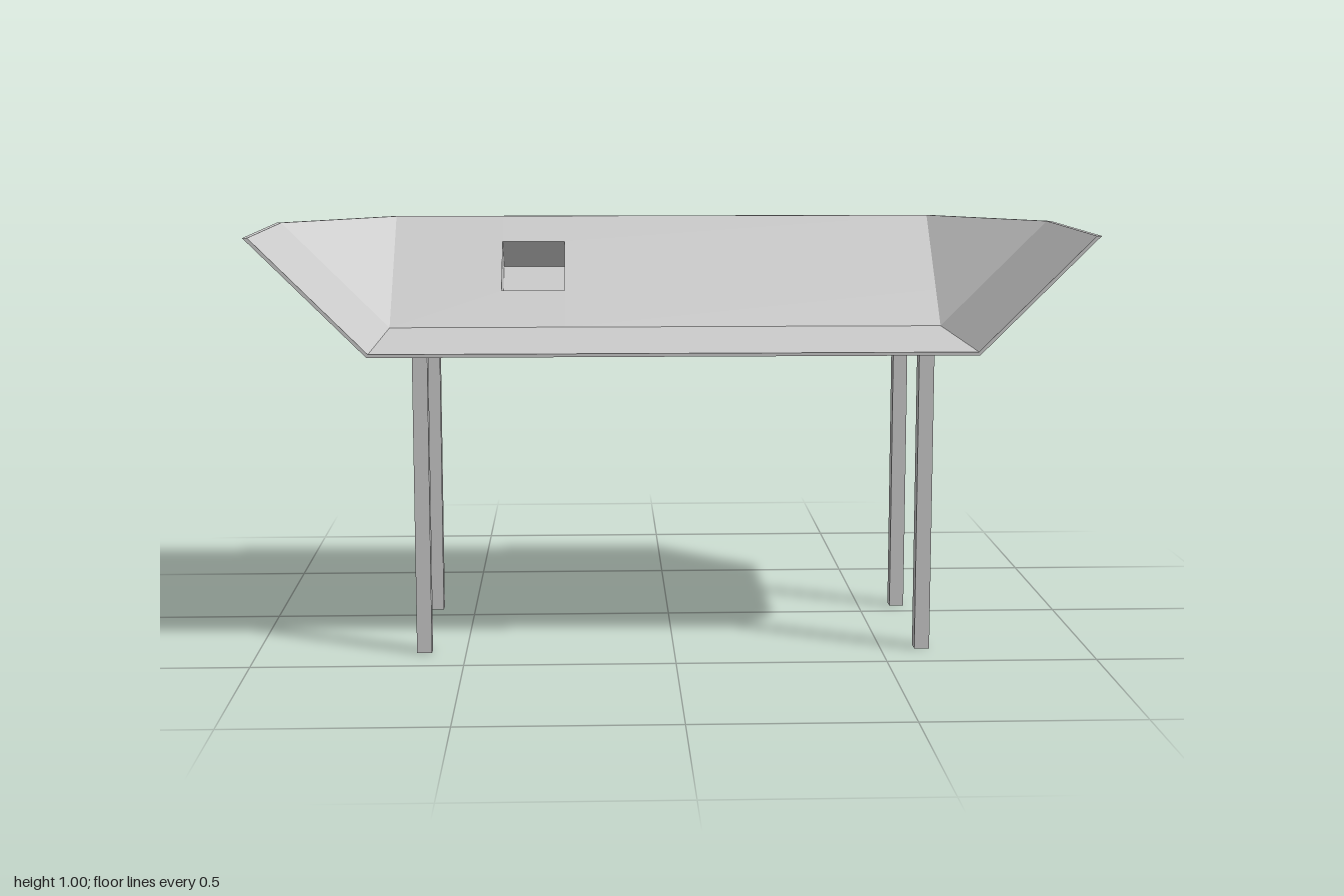
import * as THREE from 'three';

const T = 0.008;                 // sheet thickness
const FLOOR_Y = 0.72, TOP_Y = 1, FRONT_Z = 0.427;
const SLOT = { x0: -0.43, x1: -0.265, y0: 0.81, y1: 0.93, depth: 0.095 };

const material = new THREE.MeshStandardMaterial({ color: 0xcccccc, flatShading: true, side: THREE.DoubleSide });

// Flat-shaded mesh from convex polygons
function polyMesh(name, polys) {
  const pos = [];
  for (const p of polys)
    for (let i = 1; i < p.length - 1; i++) pos.push(...p[0], ...p[i], ...p[i + 1]);
  const geo = new THREE.BufferGeometry();
  geo.setAttribute('position', new THREE.Float32BufferAttribute(pos, 3));
  geo.computeVertexNormals();
  const mesh = new THREE.Mesh(geo, material);
  mesh.name = name;
  return mesh;
}

const flip = (p) => [...p].reverse();
const mirror = (p) => flip(p.map(([x, y, z]) => [-x, y, z]));

// Point on the sloping back wall, moved along its normal
const onBack = (x, y, off) => [x, y + off * Math.SQRT1_2, 0.573 - y + off * Math.SQRT1_2];

// One skin of the tray, offset inward by t; every polygon faces inward
function skin(t) {
  const y = FLOOR_Y + t, b = 0.72 - 0.414 * t, X = 1 - 1.414 * t;
  const zb = -0.147 + 0.414 * t, zt = -0.427 + 1.414 * t;
  const floorFront = [b, y, FRONT_Z], floorBack = [b, y, zb];
  const sideFront = [X, TOP_Y, FRONT_Z], sideBack = [X, TOP_Y, zb], backTop = [b, TOP_Y, zt];
  const half = [floorFront, sideFront, sideBack, backTop];

  // back wall as a 3 x 3 grid with the middle cell left open
  const xs = [-b, SLOT.x0, SLOT.x1, b];
  const k = t * Math.SQRT1_2;
  const ys = [y - k, SLOT.y0, SLOT.y1, TOP_Y - k];
  const back = [];
  for (let i = 0; i < 3; i++)
    for (let j = 0; j < 3; j++) {
      if (i === 1 && j === 1) continue;
      back.push([onBack(xs[i], ys[j], t), onBack(xs[i + 1], ys[j], t),
        onBack(xs[i + 1], ys[j + 1], t), onBack(xs[i], ys[j + 1], t)]);
    }
  return {
    floor: [[[-b, y, FRONT_Z], floorFront, floorBack, [-b, y, zb]]],
    side: [[floorFront, sideFront, sideBack, floorBack]],
    corner: [[floorBack, sideBack, backTop]],
    back,
    edge: [...half, ...mirror(half)],
  };
}

export function createModel() {
  const group = new THREE.Group();
  group.name = 'trayTable';

  // Tray panels, each with an inner and an outer skin
  const inner = skin(T), outer = skin(0);
  const panel = (key) => [...inner[key], ...outer[key].map(flip)];
  group.add(polyMesh('floor', panel('floor')), polyMesh('backWall', panel('back')));
  for (const key of ['side', 'corner']) {
    group.add(polyMesh(`${key}WallLeft`, panel(key)));
    group.add(polyMesh(`${key}WallRight`, panel(key).map(mirror)));
  }

  // Rim closing the gap between the skins
  const n = inner.edge.length;
  group.add(polyMesh('rim', inner.edge.map((p, i) => {
    const j = (i + 1) % n;
    return [p, outer.edge[i], outer.edge[j], inner.edge[j]];
  })));

  // Recessed box behind the slot, open to the inside of the tray
  const ring = (off) => [[SLOT.x0, SLOT.y0], [SLOT.x1, SLOT.y0], [SLOT.x1, SLOT.y1], [SLOT.x0, SLOT.y1]]
    .map(([x, y]) => onBack(x, y, off));
  const mouth = ring(T), base = ring(-SLOT.depth);
  const walls = mouth.map((p, i) => {
    const j = (i + 1) % 4;
    return [p, base[i], base[j], mouth[j]];
  });
  group.add(polyMesh('slotBox', [...walls, flip(base)]));

  // Four square legs
  const legGeo = new THREE.BoxGeometry(0.036, FLOOR_Y, 0.038);
  for (const [side, x] of [['Left', 0.6], ['Right', -0.6]])
    for (const [end, z] of [['front', 0.364], ['back', -0.077]]) {
      const leg = new THREE.Mesh(legGeo, material);
      leg.name = `${end}Leg${side}`;
      leg.position.set(x, FLOOR_Y / 2, z);
      group.add(leg);
    }
  return group;
}
